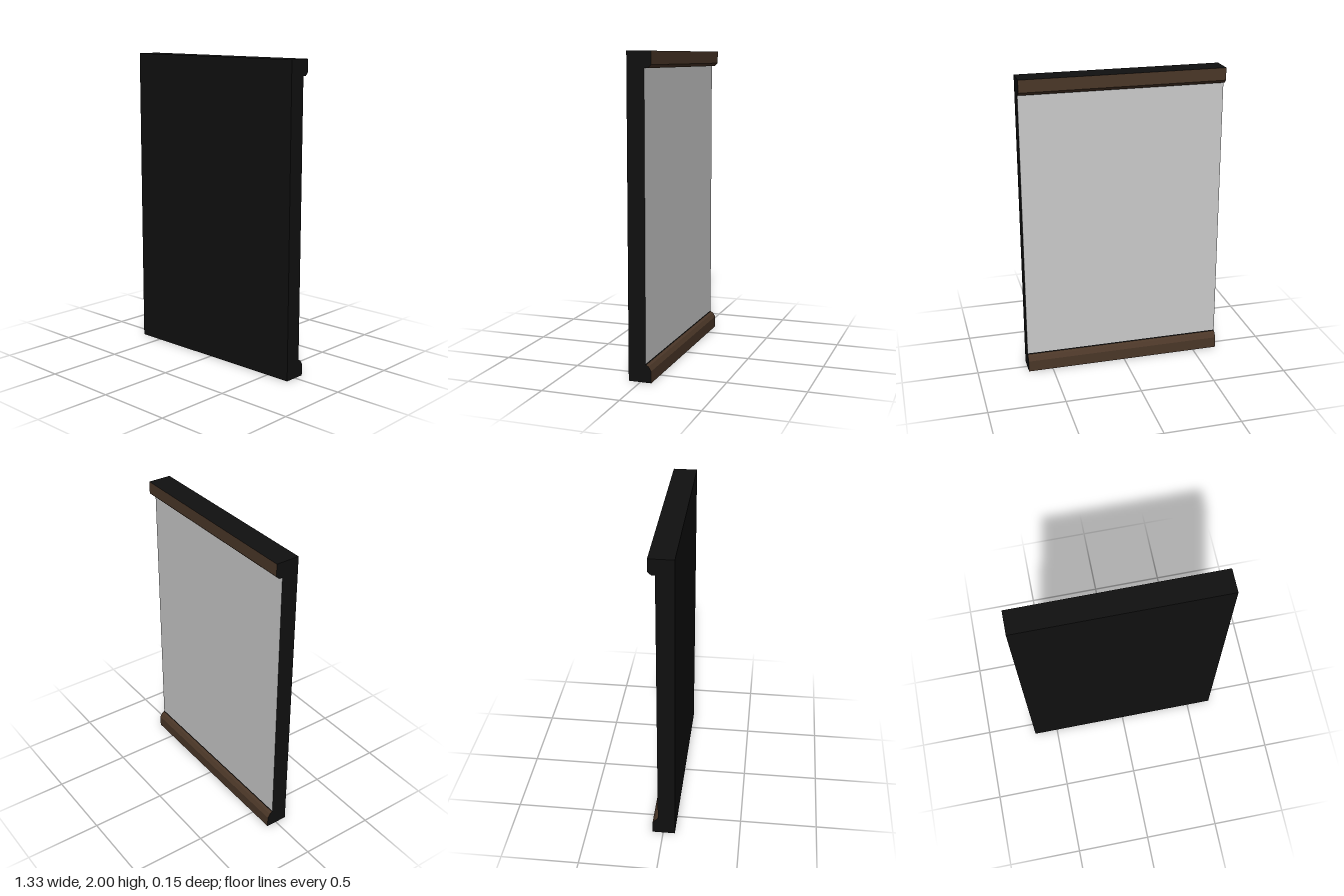
import * as THREE from 'three';

const W = 0.664; // half width

function material(color) {
  return new THREE.MeshStandardMaterial({ color, flatShading: true, side: THREE.DoubleSide });
}

// Flat-faced ribbon: a run of (z, y) points swept across the full width
function ribbon(name, points, mat) {
  const pos = [];
  for (let i = 0; i < points.length - 1; i++) {
    const [az, ay] = points[i], [bz, by] = points[i + 1];
    pos.push(-W, ay, az, W, ay, az, W, by, bz, -W, ay, az, W, by, bz, -W, by, bz);
  }
  const geo = new THREE.BufferGeometry();
  geo.setAttribute('position', new THREE.Float32BufferAttribute(pos, 3));
  geo.computeVertexNormals();
  const mesh = new THREE.Mesh(geo, mat);
  mesh.name = name;
  return mesh;
}

export function createModel() {
  const group = new THREE.Group();
  group.name = 'wallPanel';
  const black = material(0x101010);
  const brown = material(0x4b3728);
  const grey = material(0xcccccc);

  // Outline in (z, y), front bottom to top, over the cornice and down to the skirting
  const shell = [[-0.07, 0], [0.077, 0], [0.077, 2], [-0.077, 2]];
  const cornice = [[-0.077, 2], [-0.077, 1.92], [-0.057, 1.9]];
  const corniceUnderside = [[-0.057, 1.9], [-0.034, 1.9]];
  const wall = [[-0.034, 1.9], [-0.034, 0.118]];
  const skirtingGap = [[-0.034, 0.118], [-0.036, 0.112]];
  const skirting = [[-0.036, 0.112], [-0.053, 0.102], [-0.07, 0.075], [-0.07, 0]];

  group.add(
    ribbon('outerShell', shell, black),
    ribbon('cornice', cornice, brown),
    ribbon('corniceUnderside', corniceUnderside, black),
    ribbon('wallFace', wall, grey),
    ribbon('skirtingGap', skirtingGap, black),
    ribbon('skirting', skirting, brown)
  );

  // End caps close the outline on both sides
  const outline = [shell, cornice, corniceUnderside, wall, skirtingGap, skirting]
    .flatMap((run) => run.slice(0, -1))
    .map(([z, y]) => new THREE.Vector2(z, y));
  for (const [name, side] of [['leftEnd', 1], ['rightEnd', -1]]) {
    const cap = new THREE.Mesh(new THREE.ShapeGeometry(new THREE.Shape(outline)), black);
    cap.geometry.rotateY(-Math.PI / 2);
    if (side > 0) {
      // Reverse the winding so this cap faces outward
      cap.geometry.index.array.reverse();
      cap.geometry.computeVertexNormals();
    }
    cap.position.x = side * W;
    cap.name = name;
    group.add(cap);
  }
  return group;
}
